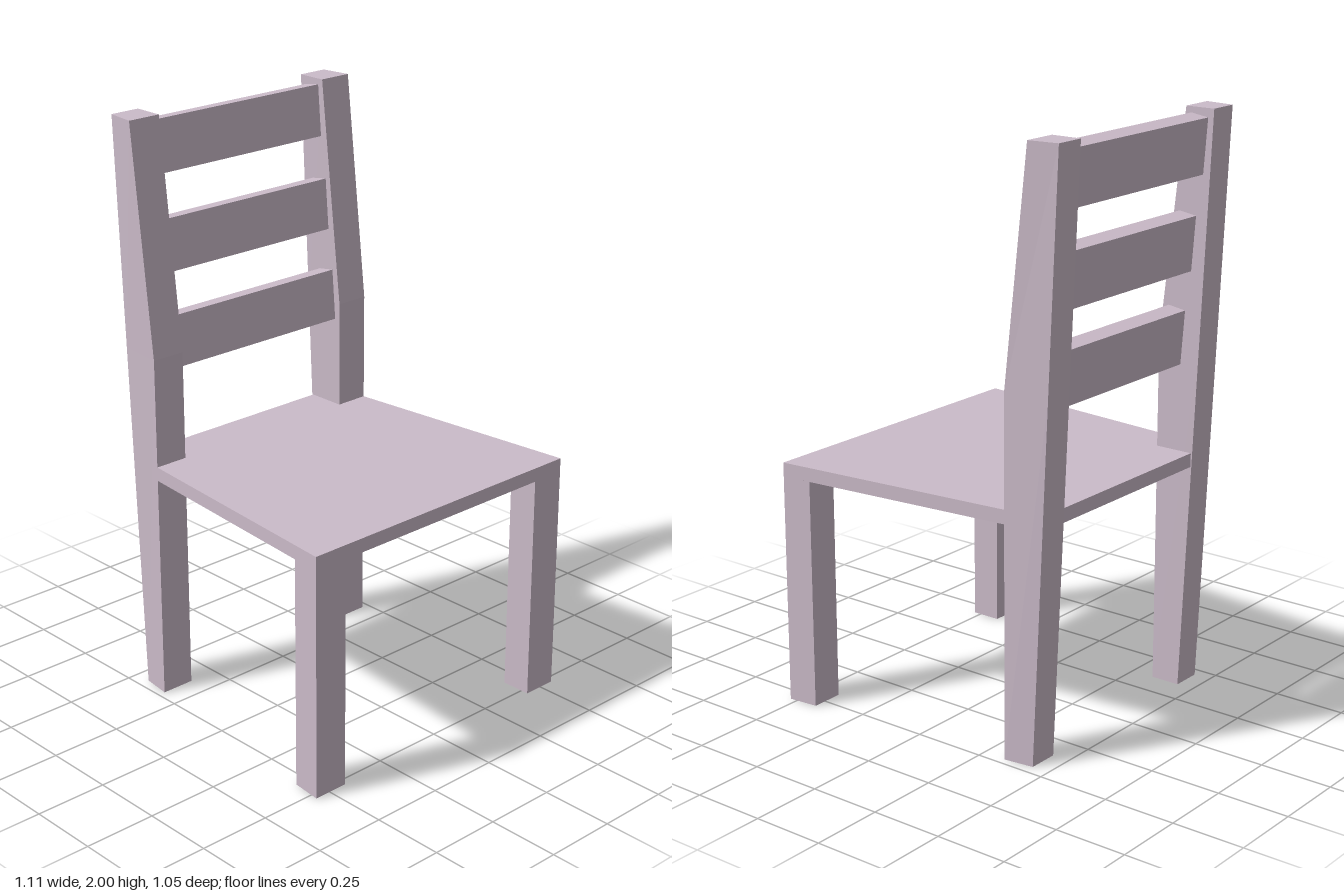
import * as THREE from 'three';

// Loft through rings of [x, y, z] points, each ordered counterclockwise seen from above.
function loft(rings, capTop, capBottom) {
  const pos = [];
  const quad = (a, b, c, d) => pos.push(...a, ...b, ...c, ...a, ...c, ...d);
  for (let r = 0; r < rings.length - 1; r++) {
    const lo = rings[r], hi = rings[r + 1];
    for (let i = 0; i < 4; i++) {
      const j = (i + 1) % 4;
      quad(lo[i], lo[j], hi[j], hi[i]);
    }
  }
  if (capTop) quad(...rings[rings.length - 1]);
  if (capBottom) quad(...[...rings[0]].reverse());
  const g = new THREE.BufferGeometry();
  g.setAttribute('position', new THREE.Float32BufferAttribute(pos, 3));
  g.computeVertexNormals();
  return g;
}

// Four-sided section: straight inner edge, outer edge narrowing towards the back.
function section(side, y, inner, outerFront, outerBack, zFront, zBack) {
  const ring = [
    [inner, y, zFront], [outerFront, y, zFront],
    [outerBack, y, zBack], [inner, y, zBack],
  ].map(([x, h, z]) => [x * side, h, z]);
  return side > 0 ? ring : ring.reverse();
}

export function createModel() {
  const group = new THREE.Group();
  const wood = new THREE.MeshStandardMaterial({ color: 0xcbbbc9, side: THREE.DoubleSide });
  wood.name = 'paleMauveWood';
  const add = (name, geometry) => {
    const mesh = new THREE.Mesh(geometry, wood);
    mesh.name = name;
    group.add(mesh);
  };

  // Tapered seat board with a tongue reaching back between the posts
  const half = [[0.557, 0.527], [0.474, -0.334], [0.354, -0.334], [0.354, -0.47]];
  const outline = [...half, ...half.map(([x, z]) => [-x, z]).reverse()];
  const seat = new THREE.ExtrudeGeometry(
    new THREE.Shape(outline.map(([x, z]) => new THREE.Vector2(x, -z))),
    { depth: 0.048, bevelEnabled: false });
  seat.rotateX(-Math.PI / 2);
  seat.translate(0, 0.796, 0);
  add('seat', seat);

  // Legs and back posts, open underneath
  for (const [side, label] of [[1, 'left'], [-1, 'right']]) {
    add(label + 'FrontLeg', loft([0, 0.796].map(
      (y) => section(side, y, 0.433, 0.557, 0.547, 0.527, 0.421)), false, false));
    add(label + 'BackPost', loft([[0, -0.334, -0.438], [1.22, -0.334, -0.492], [2, -0.421, -0.527]].map(
      ([y, zf, zb]) => section(side, y, 0.354, 0.474, 0.461, zf, zb)), true, false));
  }

  // Three backward-leaning slats
  [[1.161, -0.356], [1.481, -0.39], [1.803, -0.427]].forEach(([y, z], i) => {
    const w = 0.354, t = 0.064;
    const ring = (h, zf, drop) => [[-w, h, zf], [w, h, zf], [w, h - drop, zf - t], [-w, h - drop, zf - t]];
    add('backSlat' + (i + 1), loft([ring(y, z, 0.018), ring(y + 0.177, z - 0.014, 0.01)], true, true));
  });

  return group;
}
